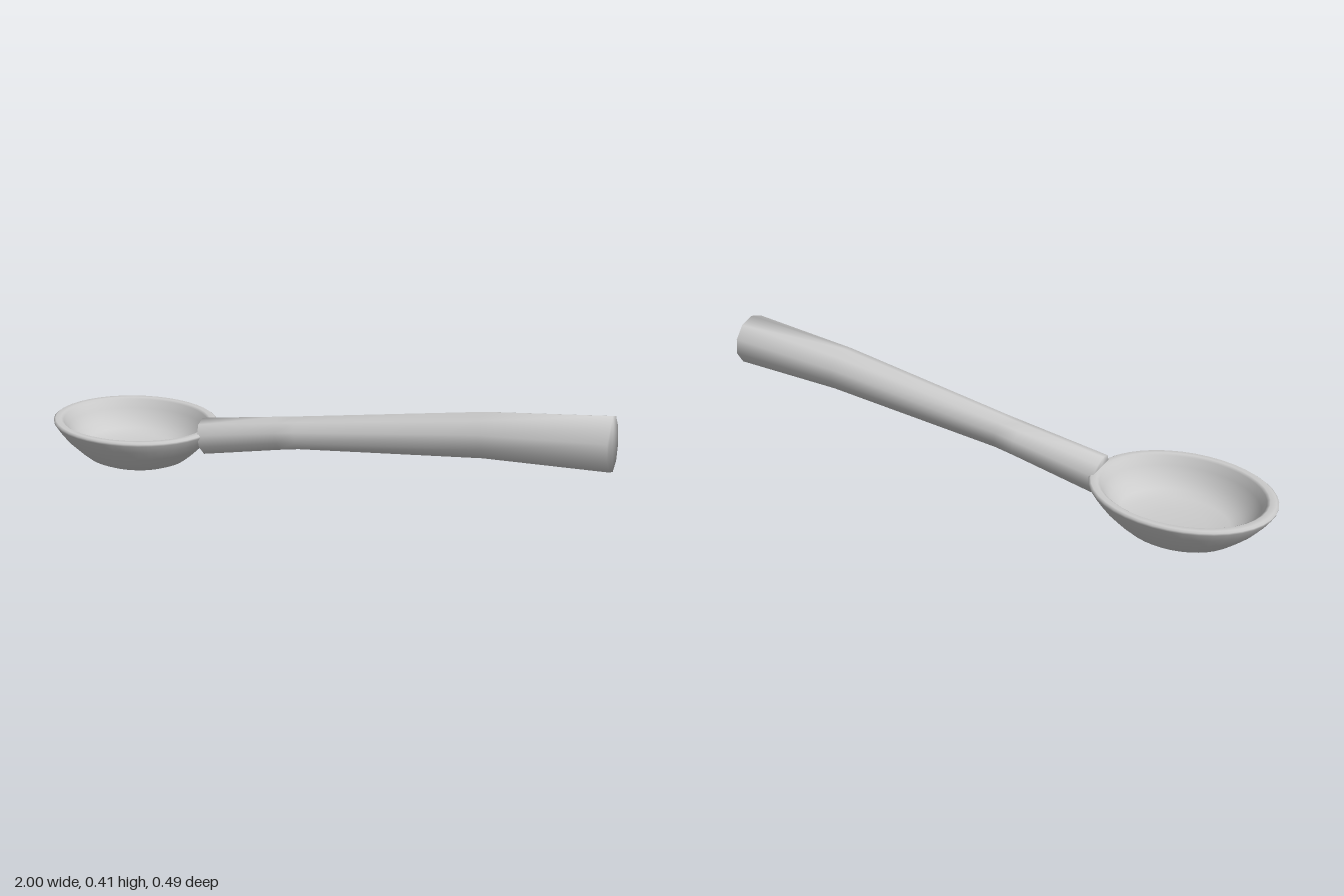
import * as THREE from 'three';
import { mergeVertices } from 'three/addons/utils/BufferGeometryUtils.js';

const SIDES = 10;

// Closed smooth tube through rings of [x, y, radius, tilt]
function sweep(rings) {
  const pos = [], index = [];
  for (const [x, y, r, tilt] of rings) {
    for (let i = 0; i < SIDES; i++) {
      const a = (i / SIDES) * Math.PI * 2;
      const up = Math.cos(a) * r;
      pos.push(x - up * Math.sin(tilt), y + up * Math.cos(tilt), Math.sin(a) * r);
    }
  }
  for (let k = 0; k < rings.length - 1; k++) {
    for (let i = 0; i < SIDES; i++) {
      const j = (i + 1) % SIDES;
      const a = k * SIDES + i, b = k * SIDES + j, c = a + SIDES, d = b + SIDES;
      index.push(a, b, c, b, d, c);
    }
  }
  // End caps share the rim so they shade softly
  const last = (rings.length - 1) * SIDES;
  for (let i = 1; i < SIDES - 1; i++) {
    index.push(0, i + 1, i);
    index.push(last, last + i, last + i + 1);
  }
  const g = new THREE.BufferGeometry();
  g.setAttribute('position', new THREE.Float32BufferAttribute(pos, 3));
  g.setIndex(index);
  g.computeVertexNormals();
  return g;
}

export function createModel() {
  const group = new THREE.Group();
  group.name = 'spoon';
  const grey = new THREE.MeshStandardMaterial({ color: 0xcccccc });
  grey.name = 'light grey';

  // Oval bowl: outside from the bottom up, over the rim, then down inside
  const profile = [
    [0, 0.003], [0.07, 0.009], [0.125, 0.017], [0.15, 0.03], [0.175, 0.055],
    [0.205, 0.09], [0.228, 0.125], [0.243, 0.153], [0.244, 0.161], [0.238, 0.166],
    [0.222, 0.166], [0.214, 0.16], [0.203, 0.13], [0.185, 0.095], [0.16, 0.067],
    [0.13, 0.052], [0.07, 0.046], [0, 0.044],
  ].map(([r, y]) => new THREE.Vector2(r, y));
  let bowlGeo = new THREE.LatheGeometry(profile, 40);
  bowlGeo.scale(1.25, 1, 1);
  bowlGeo.deleteAttribute('uv');
  bowlGeo.deleteAttribute('normal');
  bowlGeo = mergeVertices(bowlGeo, 1e-4);
  bowlGeo.computeVertexNormals();
  const bowl = new THREE.Mesh(bowlGeo, grey);
  bowl.name = 'bowl';
  bowl.position.x = -0.695;
  group.add(bowl);

  // Ten-sided handle, thickening toward its raised end
  const handle = new THREE.Mesh(sweep([
    [-0.41, 0.141, 0.066, 0.18],
    [-0.12, 0.194, 0.059, 0.18],
    [-0.05, 0.206, 0.058, 0.16],
    [0.59, 0.294, 0.077, 0.12],
    [0.99, 0.324, 0.09, 0.08],
  ]), grey);
  handle.name = 'handle';
  group.add(handle);

  return group;
}
